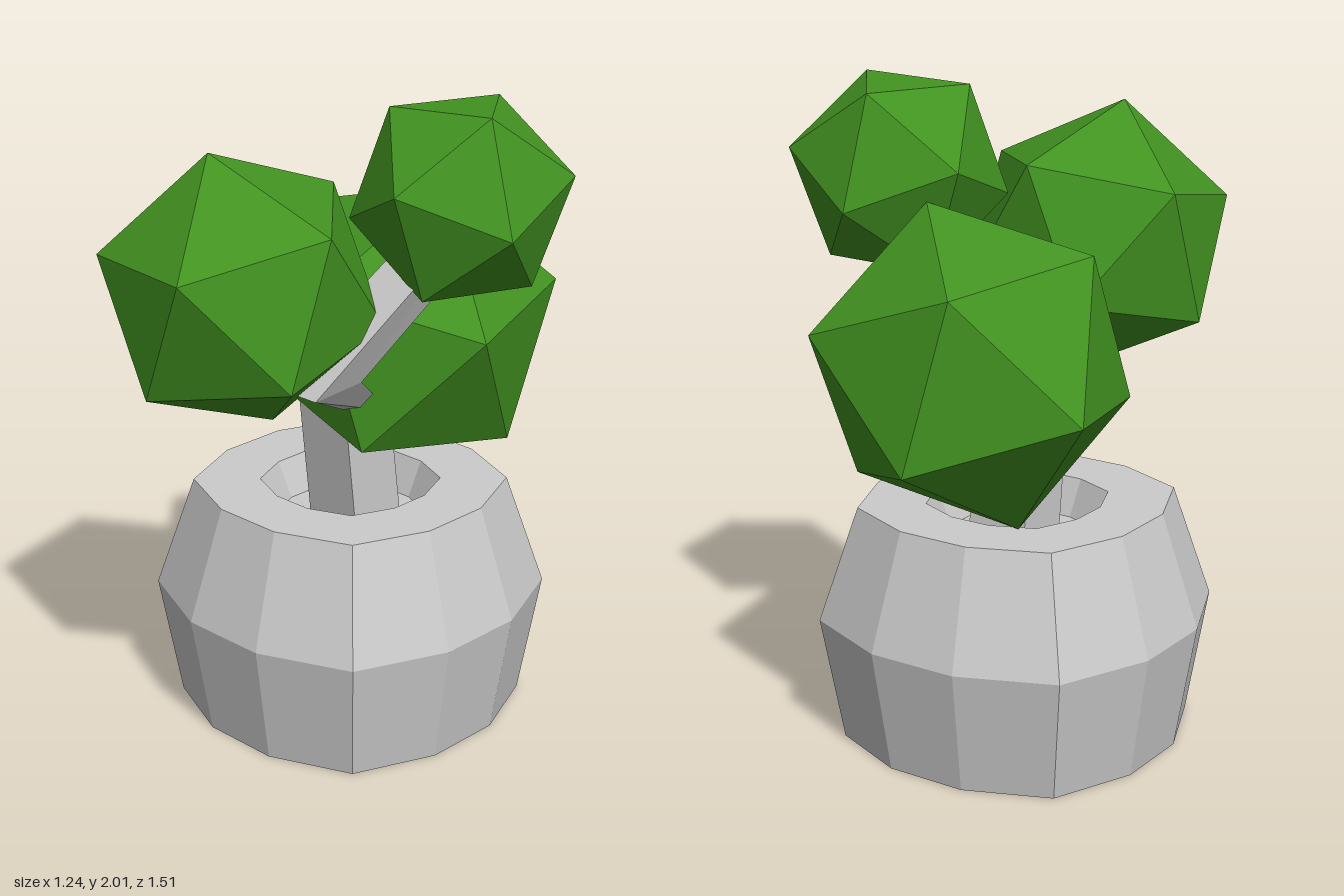
import * as THREE from 'three';

const v = (x, y, z) => new THREE.Vector3(x, y, z);

// Closed faceted skin over a series of rings, capped at both ends
function loft(rings) {
  const out = [];
  const tri = (...pts) => pts.forEach((p) => out.push(p.x, p.y, p.z));
  const n = rings[0].length;
  const middle = (r) => r.reduce((s, p) => s.add(p), v(0, 0, 0)).divideScalar(n);
  const first = rings[0], last = rings[rings.length - 1];
  const c0 = middle(first), c1 = middle(last);
  for (let i = 0; i < n; i++) {
    const j = (i + 1) % n;
    for (let k = 0; k < rings.length - 1; k++) {
      const lo = rings[k], hi = rings[k + 1];
      tri(lo[i], hi[i], hi[j]);
      tri(lo[i], hi[j], lo[j]);
    }
    tri(c0, first[i], first[j]);
    tri(c1, last[j], last[i]);
  }
  const g = new THREE.BufferGeometry();
  g.setAttribute('position', new THREE.Float32BufferAttribute(out, 3));
  g.computeVertexNormals();
  return g;
}

// Icosahedron turned so that two neighbouring corners point along a and b
function foliage(center, a, b, radius) {
  const g = new THREE.IcosahedronGeometry(radius, 0);
  const Y = a.clone().normalize().add(b.clone().normalize()).normalize();
  const X = b.clone().sub(a);
  X.addScaledVector(Y, -X.dot(Y)).normalize();
  const Z = X.clone().cross(Y);
  g.applyMatrix4(new THREE.Matrix4().makeBasis(X, Y, Z).setPosition(center));
  return g;
}

export function createModel() {
  const group = new THREE.Group();
  const grey = new THREE.MeshStandardMaterial({ color: 0xcccccc, flatShading: true });
  const green = new THREE.MeshStandardMaterial({ color: 0x429321, flatShading: true });
  const add = (name, geometry, material) => {
    const mesh = new THREE.Mesh(geometry, material);
    mesh.name = name;
    group.add(mesh);
  };

  // Pot: twelve-sided rounded square, with a sunken bowl in the top
  const potRing = (s, y) => {
    const ring = [];
    for (let q = 0; q < 4; q++) {
      for (const [x, z] of [[0.555, -0.145], [0.555, 0.145], [0.435, 0.435]]) {
        const p = v(x * s, 0, z * s).applyAxisAngle(v(0, 1, 0), -q * Math.PI / 2);
        ring.push(p.add(v(-0.07, y, -0.075)));
      }
    }
    return ring;
  };
  add('pot', loft([
    potRing(0.885, 0), potRing(1, 0.39), potRing(0.8, 0.745),
    potRing(0.46, 0.745), potRing(0.38, 0.63),
  ]), grey);

  // Trunk: square section, stepping forward and then back up into the crown
  const square = (x, z, h, yFront, yBack) => [
    v(x + h, yFront, z + h), v(x - h, yFront, z + h),
    v(x - h, yBack, z - h), v(x + h, yBack, z - h),
  ];
  add('trunk', loft([
    square(-0.07, -0.1, 0.1, 0.6, 0.6),
    square(-0.07, -0.05, 0.1, 1.04, 0.98),
    square(0.095, 0.24, 0.095, 1.19, 1.2),
    square(0.3, -0.14, 0.08, 1.64, 1.64),
  ]), grey);

  // Foliage clumps
  add('frontFoliage', foliage(v(-0.07, 1.48, 0.377), v(-0.04, 0.42, 0.08), v(0.15, 0.13, 0.375), 0.428), green);
  add('backFoliage', foliage(v(-0.07, 1.215, -0.31), v(0.16, 0.47, 0), v(-0.17, 0.295, -0.36), 0.496), green);
  add('upperFoliage', foliage(v(0.31, 1.727, -0.145), v(0.17, 0.275, 0.075), v(0.04, 0.075, 0.33), 0.335), green);

  return group;
}
